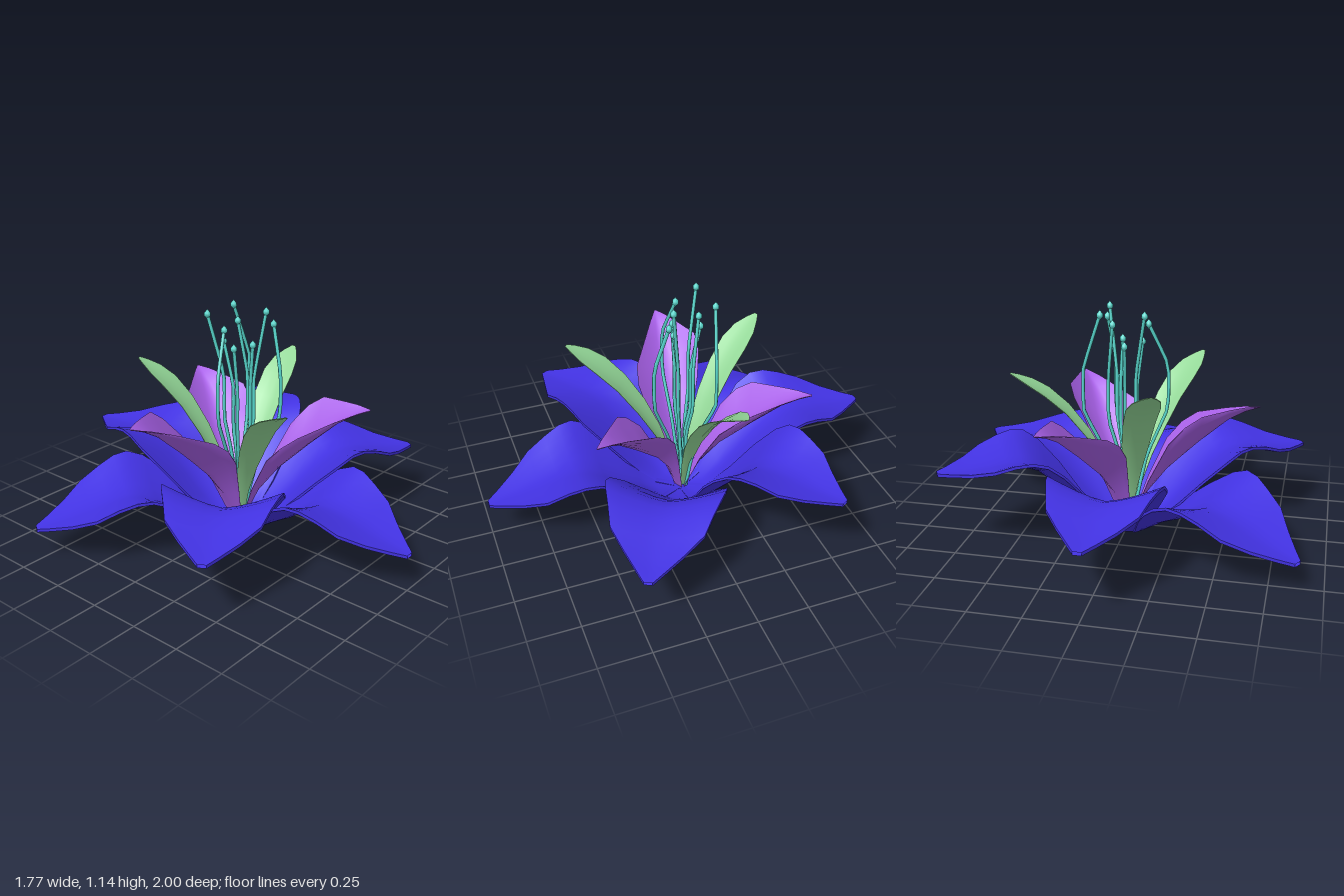
import * as THREE from 'three';
import { toCreasedNormals } from 'three/addons/utils/BufferGeometryUtils.js';

const paint = color => new THREE.MeshStandardMaterial({ color, side: THREE.DoubleSide });
const BLUE = paint(0x4232e2), PURPLE = paint(0xa860e8), GREEN = paint(0x94d898), TEAL = paint(0x58d8ce);

// Cross-sections along a petal: [distance out, midrib height, half width, edge lift]
const OUTER = [
  [0.0, 0.02, 0.02, 0], [0.12, 0.025, 0.085, 0.01], [0.22, 0.095, 0.16, 0.06], [0.32, 0.18, 0.23, 0.1],
  [0.42, 0.27, 0.28, 0.11], [0.5, 0.33, 0.282, 0.1], [0.57, 0.352, 0.268, 0.085], [0.65, 0.352, 0.243, 0.065],
  [0.75, 0.338, 0.214, 0.04], [0.85, 0.32, 0.135, 0.02], [0.94, 0.312, 0.065, 0.008], [1.0, 0.31, 0.02, 0],
];
const INNER = [
  [0.02, 0.03, 0.03, 0], [0.1, 0.2, 0.08, 0.06], [0.2, 0.33, 0.145, 0.14], [0.28, 0.405, 0.172, 0.155],
  [0.36, 0.48, 0.165, 0.135], [0.5, 0.6, 0.085, 0.05], [0.58, 0.645, 0.042, 0.02], [0.65, 0.67, 0.004, 0],
];
const LEAF = [
  [0.02, 0.04, 0.015, 0], [0.06, 0.2, 0.03, 0.01], [0.12, 0.34, 0.05, 0.02], [0.2, 0.47, 0.068, 0.025],
  [0.3, 0.605, 0.078, 0.02], [0.4, 0.7, 0.082, 0.015], [0.48, 0.755, 0.066, 0.01], [0.54, 0.79, 0.034, 0.005],
  [0.575, 0.81, 0.01, 0],
];

// Curved shell through the cross-sections, pointing along +x:
// each ring runs across the top face and back along the underside
function petalGeometry(sections, { length = 1, width = 1, droop = 0, skew = 0, thick = 0.004, columns = 8 }) {
  const pos = [], index = [];
  const end = sections[sections.length - 1][0];
  const ring = 2 * (columns + 1);
  sections.forEach(([r, y, w, lift], i) => {
    const fall = droop * Math.max(0, (r / end - 0.25) / 0.75) ** 0.65;
    for (let j = 0; j < ring; j++) {
      const under = j > columns;
      const s = ((under ? ring - 1 - j : j) / columns) * 2 - 1;
      const side = s * w * width;
      pos.push(r * length + skew * side, y + fall + lift * Math.abs(s) ** 1.35 + skew * side * 0.8 - (under ? thick : 0), side);
      if (i) {
        const a = (i - 1) * ring + j, b = (i - 1) * ring + (j + 1) % ring;
        index.push(a, b, a + ring, b, b + ring, a + ring);
      }
    }
  });
  const g = new THREE.BufferGeometry();
  g.setAttribute('position', new THREE.Float32BufferAttribute(pos, 3));
  g.setIndex(index);
  return toCreasedNormals(g, 0.9);
}

function addPetal(group, name, sections, material, angle, options) {
  const mesh = new THREE.Mesh(petalGeometry(sections, options), material);
  mesh.name = name;
  mesh.rotation.y = THREE.MathUtils.degToRad(angle);
  group.add(mesh);
}

export function createModel() {
  const flower = new THREE.Group();
  flower.name = 'flower';

  // Six wide outer petals: angle, length, width factor, tip droop
  [
    [-90, 1, 1, -0.12], [90, 1, 0.97, 0.03], [-28.5, 0.99, 1, -0.02],
    [31, 0.955, 0.92, 0.1], [-149, 0.98, 1, 0.02], [148.5, 1.03, 1.07, -0.16],
  ].forEach(([angle, length, width, droop]) =>
    addPetal(flower, 'outerPetal', OUTER, BLUE, angle, { length, width, droop, thick: 0.016 }));

  // Three cupped inner petals, two of them with one side reaching further out
  [[-56, 0.985, -0.015, -0.35], [61, 0.985, -0.015, 0.1], [172, 1.01, 0.04, 0.35]].forEach(
    ([angle, length, droop, skew]) =>
      addPetal(flower, 'innerPetal', INNER, PURPLE, angle, { length, droop, skew }));

  // Three slim leaves between the inner petals
  [[10, 1.01, -0.01], [112.5, 0.915, 0.04], [-121.5, 1, 0]].forEach(([angle, length, droop]) =>
    addPetal(flower, 'leaf', LEAF, GREEN, angle, { length, droop, columns: 4 }));

  // Stamens: bow point, then head position
  const stamens = [
    [[-0.2, 0.76, 0.03], [-0.1, 1.06, -0.01]],
    [[0.21, 0.76, -0.11], [0.11, 1.12, -0.13]],
    [[0.11, 0.74, 0.18], [0.13, 1.06, 0.105]],
    [[-0.05, 0.72, -0.06], [-0.1, 1.12, -0.115]],
    [[0.07, 0.7, 0.04], [0.11, 1.12, 0.075]],
    [[0.1, 0.7, -0.03], [0.065, 1.06, -0.065]],
    [[0.05, 0.65, 0.03], [0.04, 0.965, 0.05]],
    [[0.01, 0.65, -0.05], [0.0, 0.965, -0.1]],
    [[-0.04, 0.65, 0.02], [-0.065, 0.965, 0.02]],
  ];
  const headShape = new THREE.LatheGeometry(
    [[0, -0.025], [0.016, -0.008], [0.015, 0.006], [0, 0.025]].map(p => new THREE.Vector2(...p)), 8);
  stamens.forEach(([[bx, by, bz], head]) => {
    const stamen = new THREE.Group();
    stamen.name = 'stamen';
    const path = new THREE.CatmullRomCurve3([
      new THREE.Vector3(bx * 0.1, 0.03, bz * 0.1 - 0.01),
      new THREE.Vector3(bx * 0.45, 0.38, bz * 0.45),
      new THREE.Vector3(bx * 0.95, by - 0.13, bz * 0.95),
      new THREE.Vector3(bx * 0.95, by + 0.09, bz * 0.95),
      new THREE.Vector3(...head),
    ], false, 'catmullrom', 0.15);
    const stem = new THREE.Mesh(new THREE.TubeGeometry(path, 16, 0.009, 6), TEAL);
    stem.name = 'stem';
    const tip = new THREE.Mesh(headShape, TEAL);
    tip.name = 'stamenHead';
    tip.position.set(...head);
    stamen.add(stem, tip);
    flower.add(stamen);
  });

  // Small base under the bloom
  const base = new THREE.Mesh(new THREE.CylinderGeometry(0.035, 0.035, 0.02, 8), PURPLE);
  base.name = 'base';
  base.position.set(0.02, 0.01, -0.02);
  flower.add(base);

  return flower;
}
